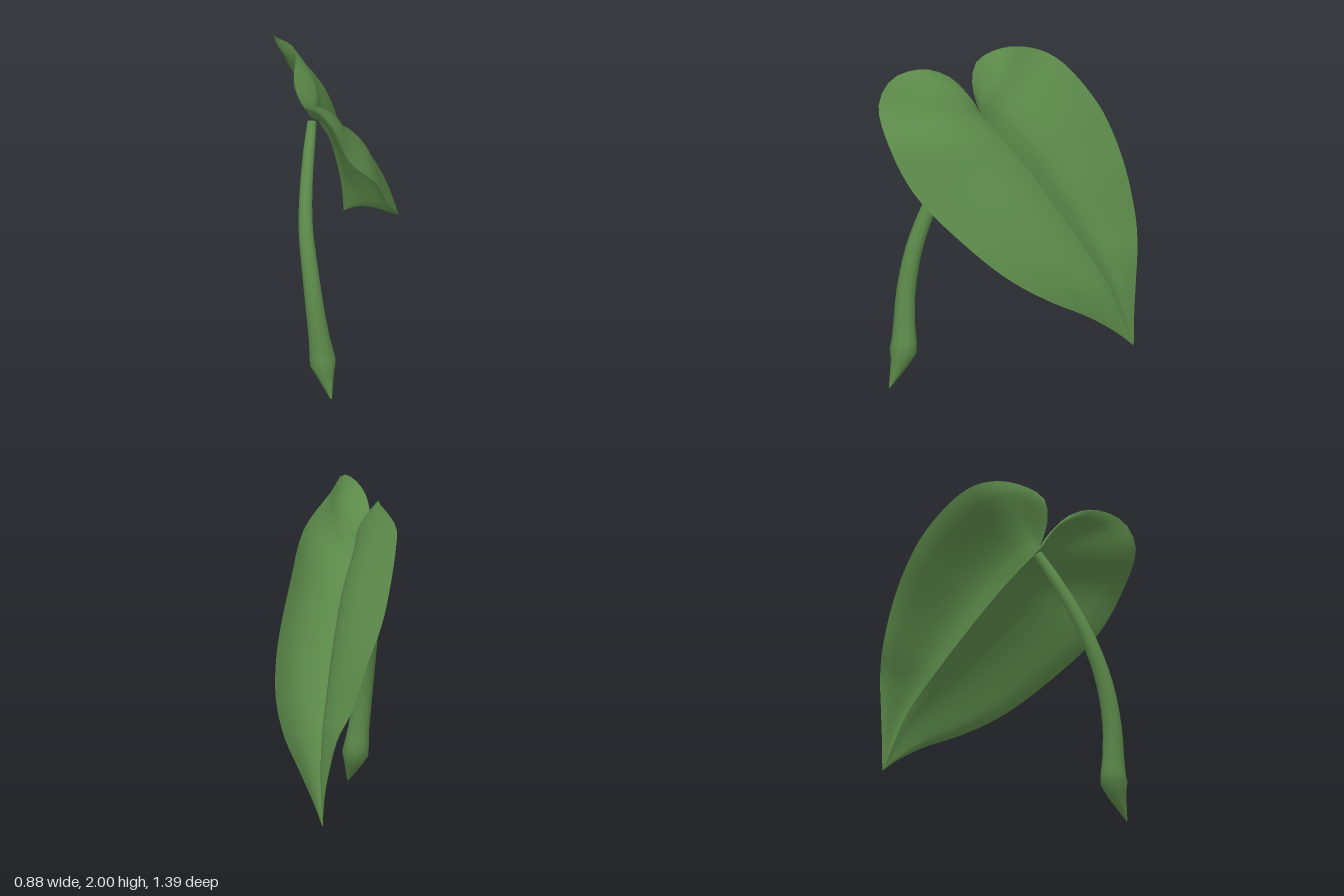
import * as THREE from 'three';

const V = (p) => new THREE.Vector3(...p);
const curve = (pts) => new THREE.CatmullRomCurve3(pts.map(V), false, 'centripetal');

const SINUS = [-0.08, 1.63, 0.205], TIP = [-0.15, 0.29, -0.69];
const UP = new THREE.Vector3(0.7, 0.4, -0.6).normalize(); // upper face of the leaf

// Fold line of the leaf, from the stem to the tip
const midrib = curve([SINUS, [-0.06, 1.44, 0.01], [-0.07, 1.19, -0.19],
  [-0.09, 0.91, -0.39], [-0.11, 0.655, -0.555], TIP]);

// Outer edges of the two blades, from the notch around the lobe to the tip
const leftEdge = curve([SINUS, [-0.075, 1.8, 0.33], [-0.02, 1.88, 0.43], [0.08, 1.92, 0.53],
  [0.2, 1.89, 0.645], [0.28, 1.76, 0.697], [0.41, 1.55, 0.59], [0.435, 1.29, 0.43], [0.41, 1.0, 0.13],
  [0.34, 0.8, -0.1], [0.22, 0.65, -0.3], [0.05, 0.51, -0.49], [-0.08, 0.38, -0.62], TIP]);
const rightEdge = curve([SINUS, [-0.13, 1.8, 0.265], [-0.17, 1.91, 0.25], [-0.21, 2.0, 0.09],
  [-0.38, 1.935, -0.08], [-0.42, 1.85, -0.2], [-0.44, 1.64, -0.38], [-0.43, 1.49, -0.47],
  [-0.38, 1.28, -0.57], [-0.31, 1.0, -0.655], [-0.24, 0.85, -0.685], [-0.19, 0.65, -0.69],
  [-0.16, 0.47, -0.69], TIP]);

// One blade: an upper and a lower skin spanned between midrib and edge.
// A smaller crest power moves the top of the arch towards the midrib.
function bladeGeometry(edge, bulge, crest, flip) {
  const n = 44, m = 10, pos = [], idx = [];
  for (const skin of [0, 1]) {
    const start = pos.length / 3;
    for (let i = 0; i <= n; i++) {
      const u = i / n;
      const t = Math.max(0, (u - 0.2) / 0.8);
      const a = midrib.getPoint(t * 0.6 + t * t * 0.4), b = edge.getPointAt(u);
      const span = a.distanceTo(b);
      for (let j = 0; j <= m; j++) {
        const v = j / m;
        const arch = bulge * span * Math.sin(Math.PI * Math.pow(v, crest));
        const thick = skin * 0.05 * Math.sqrt(Math.max(0, Math.sin(Math.PI * v))) * Math.min(1, span * 3);
        const p = a.clone().lerp(b, v).addScaledVector(UP, arch - thick);
        pos.push(p.x, p.y, p.z);
      }
    }
    for (let i = 0; i < n; i++) for (let j = 0; j < m; j++) {
      const p = start + i * (m + 1) + j, q = p + m + 1;
      if (flip !== (skin === 1)) idx.push(p, q, p + 1, p + 1, q, q + 1);
      else idx.push(p, p + 1, q, p + 1, q + 1, q);
    }
  }
  return buildGeometry(pos, idx);
}

function buildGeometry(pos, idx) {
  const g = new THREE.BufferGeometry();
  g.setAttribute('position', new THREE.Float32BufferAttribute(pos, 3));
  g.setIndex(idx);
  g.computeVertexNormals();
  return g;
}

// Round stem swept through rings of [x, y, z, radius]
function stemGeometry(rings, sides = 10) {
  const path = curve(rings.map((r) => r.slice(0, 3)));
  const n = (rings.length - 1) * 3, pos = [], idx = [];
  for (let i = 0; i <= n; i++) {
    const t = i / n, k = Math.min(rings.length - 2, Math.floor(i / 3)), f = i / 3 - k;
    const r = THREE.MathUtils.lerp(rings[k][3], rings[k + 1][3], f);
    const dir = path.getTangent(t), c = path.getPoint(t);
    const sx = new THREE.Vector3(0, 0, 1).cross(dir).normalize();
    const sy = dir.clone().cross(sx);
    for (let j = 0; j < sides; j++) {
      const w = (j / sides) * Math.PI * 2;
      const p = c.clone().addScaledVector(sx, r * Math.cos(w)).addScaledVector(sy, r * Math.sin(w));
      pos.push(p.x, Math.max(0, p.y), p.z);
    }
  }
  for (let i = 0; i < n; i++) for (let j = 0; j < sides; j++) {
    const a = i * sides + j, b = i * sides + (j + 1) % sides;
    idx.push(a, b, a + sides, b, b + sides, a + sides);
  }
  return buildGeometry(pos, idx);
}

export function createModel() {
  const group = new THREE.Group();
  group.name = 'heartLeaf';
  const green = new THREE.MeshStandardMaterial({ color: 0x5c8a4a, side: THREE.DoubleSide });
  green.name = 'leafGreen';

  const add = (name, geometry) => {
    const mesh = new THREE.Mesh(geometry, green);
    mesh.name = name;
    group.add(mesh);
  };
  add('leftBlade', bladeGeometry(leftEdge, 0.15, 0.8, false));
  add('rightBlade', bladeGeometry(rightEdge, 0.18, 0.65, true));

  // Stem, from the pointed foot up to the notch of the leaf
  add('stem', stemGeometry([
    [0.172, 0.003, 0.665, 0.004], [0.105, 0.21, 0.605, 0.078], [0.085, 0.36, 0.604, 0.063],
    [0.06, 0.55, 0.602, 0.055], [0.02, 0.8, 0.567, 0.049], [-0.03, 1.05, 0.49, 0.043],
    [-0.055, 1.25, 0.4, 0.038], [-0.07, 1.45, 0.29, 0.034], [-0.078, 1.6, 0.2, 0.027],
  ]));
  return group;
}
